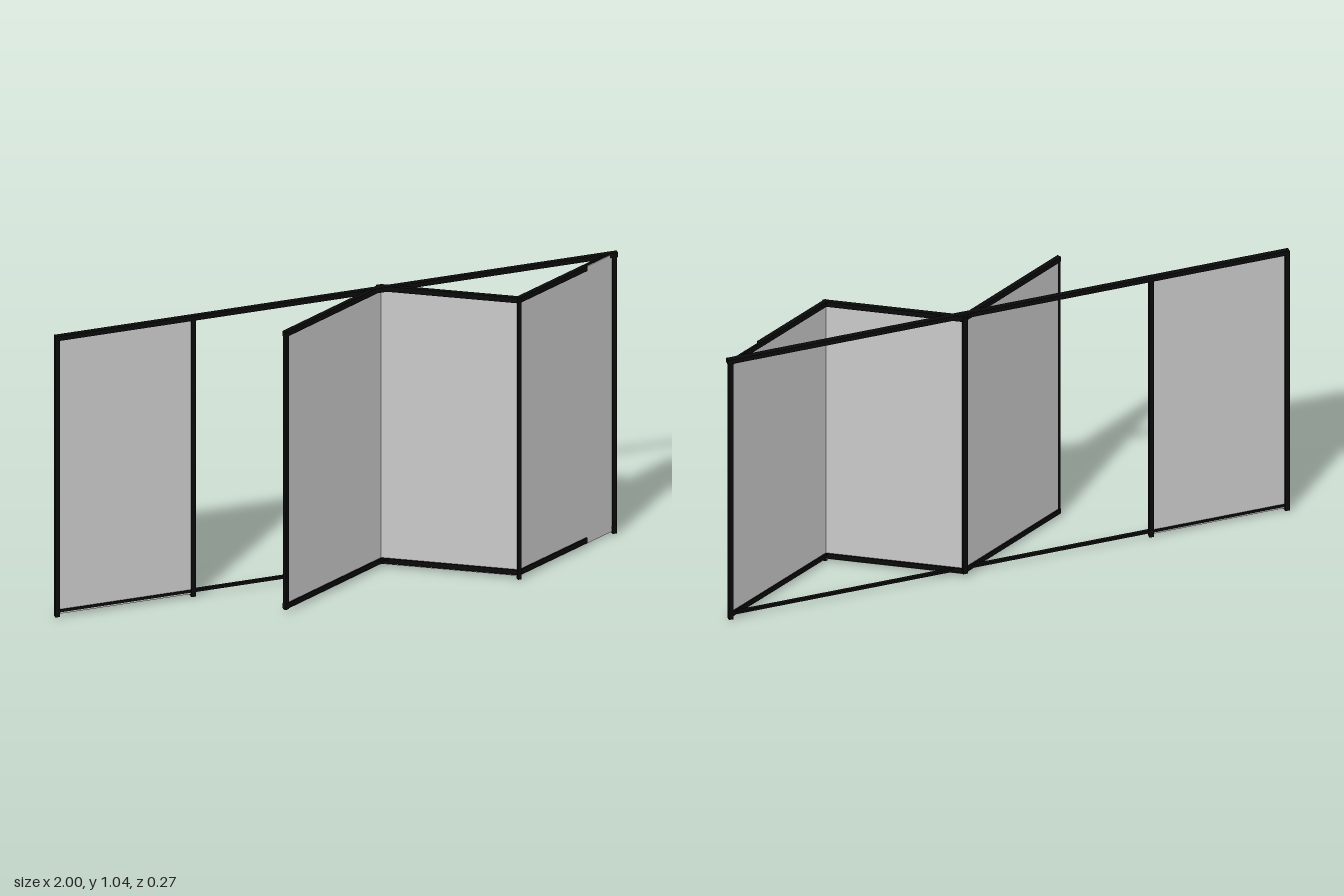
import * as THREE from 'three';

const black = new THREE.MeshStandardMaterial({ color: 0x0a0a0a });
const grey = new THREE.MeshStandardMaterial({ color: 0xcccccc });

function box(parent, name, material, size, pos) {
  const mesh = new THREE.Mesh(new THREE.BoxGeometry(...size), material);
  mesh.name = name;
  mesh.position.set(...pos);
  parent.add(mesh);
  return mesh;
}

// A leaf spans two floor points [x, z]; local x runs along it, local +z is its front.
// cut shortens the front half of the rails at the end of the leaf.
function leaf(name, [x0, z0], [x1, z1], cut = 0) {
  const group = new THREE.Group();
  group.name = name;
  const length = Math.hypot(x1 - x0, z1 - z0);
  group.position.set((x0 + x1) / 2, 0, (z0 + z1) / 2);
  group.rotation.y = -Math.atan2(z1 - z0, x1 - x0);
  box(group, 'pane', grey, [length, 1.022, 0.006], [0, 0.524, 0]);
  for (const [railName, y] of [['bottomRail', 0.027], ['topRail', 1.031]]) {
    box(group, railName + 'Back', black, [length, 0.019, 0.008], [0, y, -0.004]);
    box(group, railName + 'Front', black, [length - cut, 0.019, 0.008], [-cut / 2, y, 0.004]);
  }
  return group;
}

export function createModel() {
  const model = new THREE.Group();
  const trackZ = -0.106;

  // Head and floor tracks
  box(model, 'topTrack', black, [1.994, 0.017, 0.018], [0, 1.033, trackZ]);
  box(model, 'floorTrack', black, [1.98, 0.01, 0.012], [0, 0.026, trackZ]);

  // Fixed pane with its posts, and the post at the far jamb
  box(model, 'fixedPane', grey, [0.485, 1.015, 0.006], [-0.748, 0.522, trackZ]);
  for (const [name, x] of [['endPost', -0.99], ['fixedPanePost', -0.508], ['jambPost', 0.985]]) {
    box(model, name, black, [0.016, 1.035, 0.018], [x, 0.523, trackZ]);
  }

  // Three folding leaves in a zigzag
  const corners = [[-0.262, 0.116], [0.164, -0.122], [0.566, 0.122], [0.982, -0.108]];
  model.add(leaf('outerLeaf', corners[0], corners[1]));
  model.add(leaf('middleLeaf', corners[1], corners[2]));
  model.add(leaf('jambLeaf', corners[2], corners[3], 0.138));

  // Stile on the free edge and hinge posts outside each fold
  const stile = box(model, 'freeStile', black, [0.014, 1.022, 0.014], [-0.257, 0.527, 0.117]);
  stile.rotation.y = Math.PI / 6;
  box(model, 'backHinge', black, [0.018, 1.02, 0.014], [0.16, 0.528, -0.127]);
  box(model, 'frontHinge', black, [0.012, 1.035, 0.014], [0.566, 0.521, 0.127]);

  return model;
}
